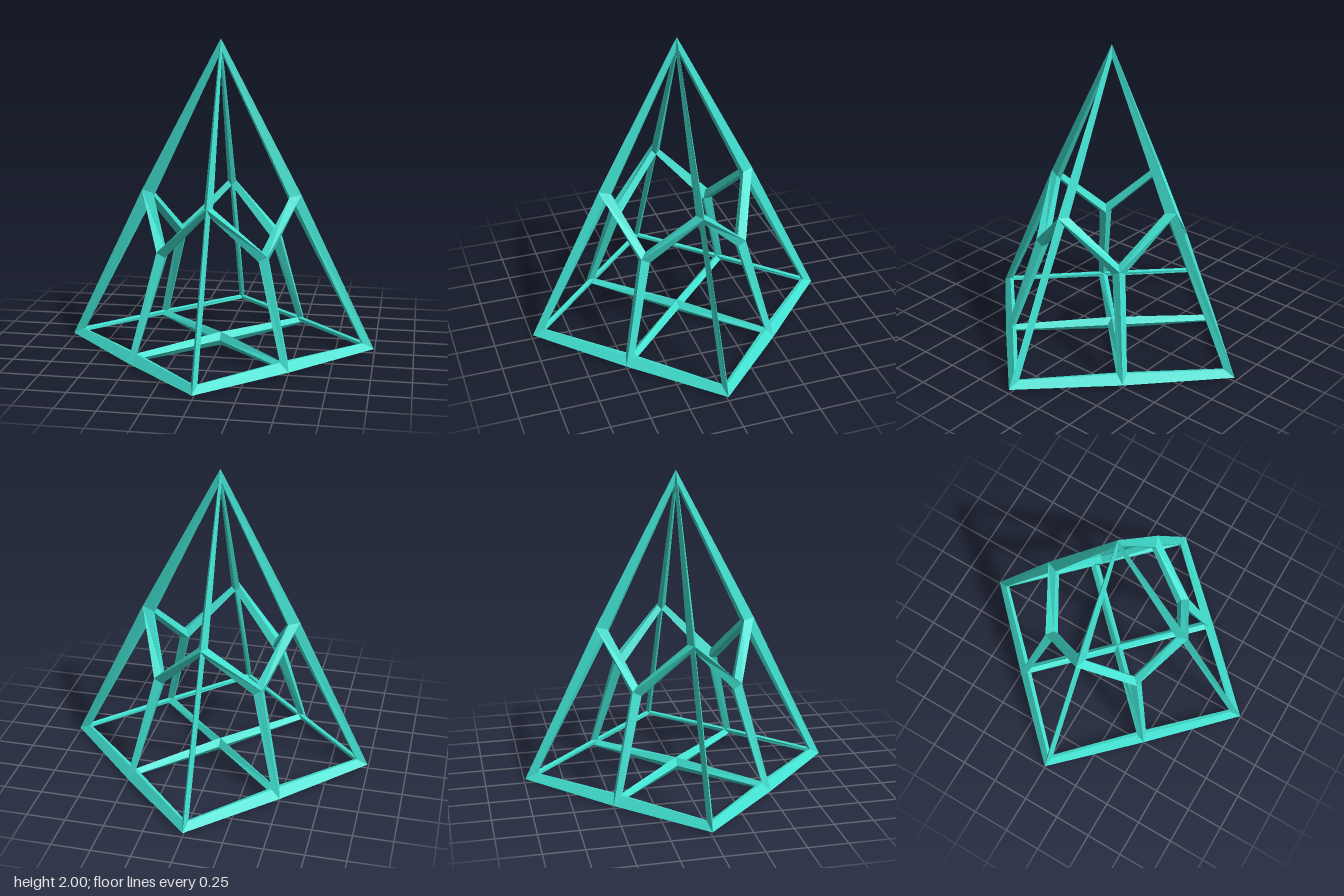
import * as THREE from 'three';

const R = 0.956;   // half diagonal of the square base, the height is twice this
const T = 0.044;   // half thickness of the struts

// Splits a polygon into one quad per corner: corner, edge middle, face centre, edge middle
function splitPolygon(points) {
  const n = points.length;
  const centre = points.reduce((s, p) => s.add(p), new THREE.Vector3()).divideScalar(n);
  const middle = (i) => points[i % n].clone().add(points[(i + 1) % n]).multiplyScalar(0.5);
  return points.map((p, i) => [p, middle(i), centre, middle(i + n - 1)]);
}

const keyOf = (p) => p.toArray().map((c) => Math.round(c * 1000) + 0).join();

// Unit directions from a corner of a quad to its two neighbours
function cornerInfo(quad, i) {
  const next = quad[(i + 1) % 4].clone().sub(quad[i]).normalize();
  const prev = quad[(i + 3) % 4].clone().sub(quad[i]).normalize();
  return {
    angle: next.angleTo(prev),
    normal: next.clone().cross(prev).normalize(),
    inward: next.clone().add(prev).normalize(),
  };
}

export function createModel() {
  const group = new THREE.Group();
  const apex = new THREE.Vector3(0, 2 * R, 0);
  const ring = [[1, 0], [0, 1], [-1, 0], [0, -1]].map(([x, z]) => new THREE.Vector3(x * R, 0, z * R));

  // Cells of the four sloping sides and of the base
  const quads = splitPolygon(ring);
  ring.forEach((p, i) => quads.push(...splitPolygon([apex, ring[(i + 1) % 4], p])));

  // Angle-weighted normal at every joint
  const normals = {};
  for (const quad of quads) {
    quad.forEach((p, i) => {
      const { angle, normal } = cornerInfo(quad, i);
      const key = keyOf(p);
      normals[key] = (normals[key] || new THREE.Vector3()).addScaledVector(normal, angle);
    });
  }
  Object.values(normals).forEach((n) => n.normalize());

  // Every strut has an outer ridge, an inner ridge and one ridge in each adjoining cell
  const parts = { baseFrame: [], baseCross: [], cornerPosts: [], sideBraces: [] };
  for (const quad of quads) {
    const outer = quad.map((p) => p.clone().addScaledVector(normals[keyOf(p)], T));
    const inner = quad.map((p) => p.clone().addScaledVector(normals[keyOf(p)], -T));
    const inset = quad.map((p, i) => p.clone().addScaledVector(cornerInfo(quad, i).inward, T));
    for (let i = 0; i < 4; i++) {
      const j = (i + 1) % 4;
      const onBase = Math.abs(quad[i].y) + Math.abs(quad[j].y) < 1e-6;
      const toCentre = i === 1 || i === 2;
      const name = toCentre ? (onBase ? 'baseCross' : 'sideBraces') : (onBase ? 'baseFrame' : 'cornerPosts');
      for (const [a, b, c, d] of [
        [outer[i], outer[j], inset[j], inset[i]],
        [inset[i], inset[j], inner[j], inner[i]],
      ]) parts[name].push(a, b, c, a, c, d);
    }
  }

  const material = new THREE.MeshStandardMaterial({ color: 0x40e0d0, flatShading: true });
  for (const [name, points] of Object.entries(parts)) {
    const geometry = new THREE.BufferGeometry().setFromPoints(points);
    geometry.translate(0, T, 0);
    geometry.computeVertexNormals();
    const mesh = new THREE.Mesh(geometry, material);
    mesh.name = name;
    group.add(mesh);
  }
  return group;
}
